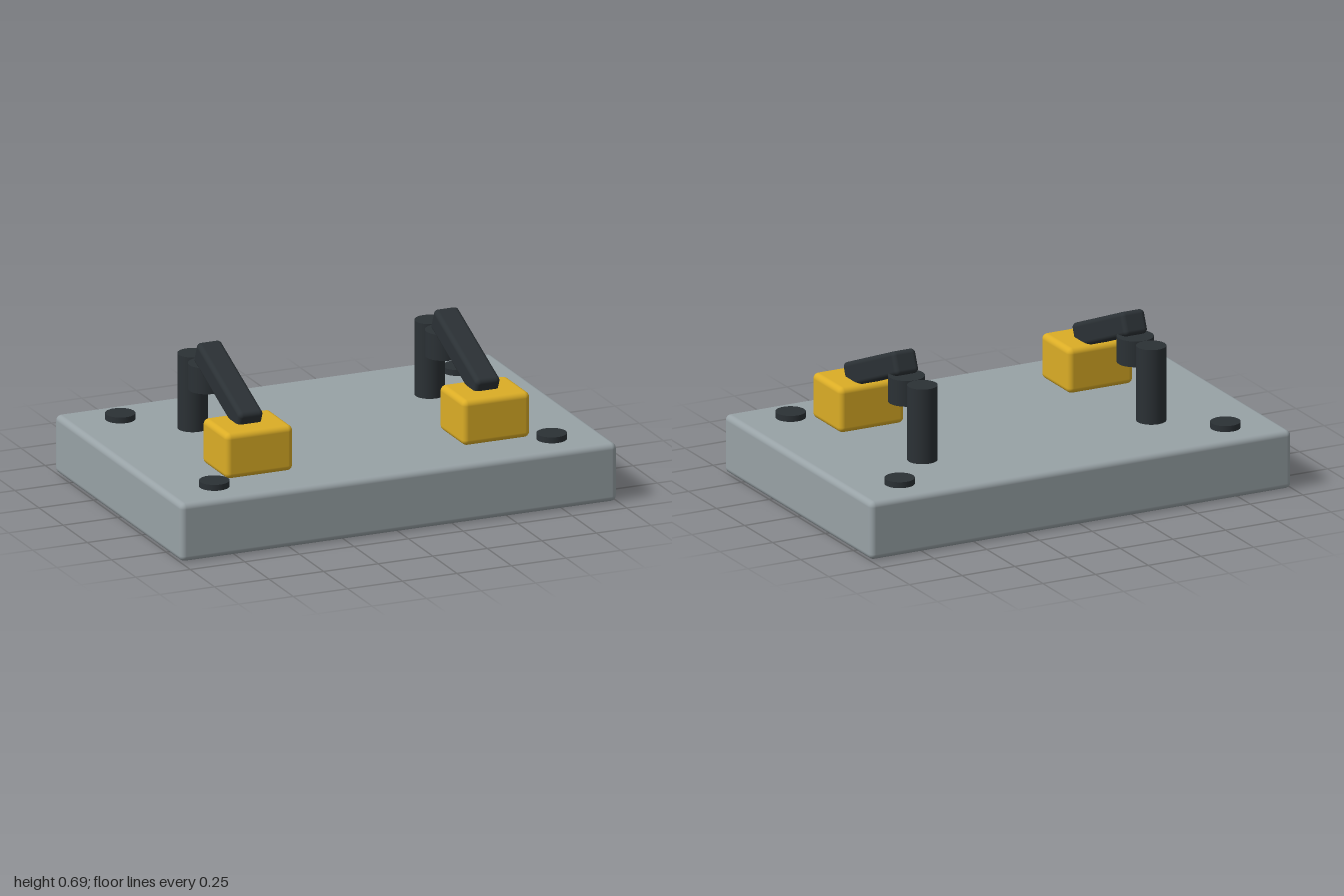
import * as THREE from 'three';
import { RoundedBoxGeometry } from 'three/addons/geometries/RoundedBoxGeometry.js';

export function createModel() {
  const model = new THREE.Group();
  model.name = 'twinClampFixture';

  const grey = new THREE.MeshStandardMaterial({ color: 0x98a2a6 });
  const yellow = new THREE.MeshStandardMaterial({ color: 0xdbad26 });
  const dark = new THREE.MeshStandardMaterial({ color: 0x2b3135 });

  function add(name, geometry, material, x, y, z, parent = model) {
    const mesh = new THREE.Mesh(geometry, material);
    mesh.name = name;
    mesh.position.set(x, y, z);
    parent.add(mesh);
    return mesh;
  }
  const box = (w, h, d, r) => new RoundedBoxGeometry(w, h, d, 4, r);
  const rod = (r, h) => new THREE.CylinderGeometry(r, r, h, 32);

  // Base plate
  const top = 0.257;
  add('basePlate', box(2, top, 1.312, 0.025), grey, 0, top / 2, 0);

  // Locating buttons near the four corners
  for (const x of [-0.773, 0.773])
    for (const z of [-0.486, 0.486])
      add('cornerButton', rod(0.064, 0.046), dark, x, top + 0.003, z);

  // Two swing clamps, one on each side
  for (const side of [-1, 1]) {
    const clamp = new THREE.Group();
    clamp.name = side > 0 ? 'leftClamp' : 'rightClamp';
    clamp.position.x = side * 0.543;
    model.add(clamp);

    add('pad', box(0.31, 0.2, 0.255, 0.025), yellow, 0, 0.358, 0.314, clamp);
    add('post', rod(0.064, 0.347), dark, 0, 0.4135, -0.257, clamp);
    add('pivot', rod(0.078, 0.114), dark, 0, 0.53, -0.114, clamp);
    // Arm slopes down from the pivot onto the pad
    const arm = add('arm', box(0.112, 0.104, 0.491, 0.02), dark, 0, 0.552, 0.113, clamp);
    arm.rotation.x = 0.393;
  }

  return model;
}
